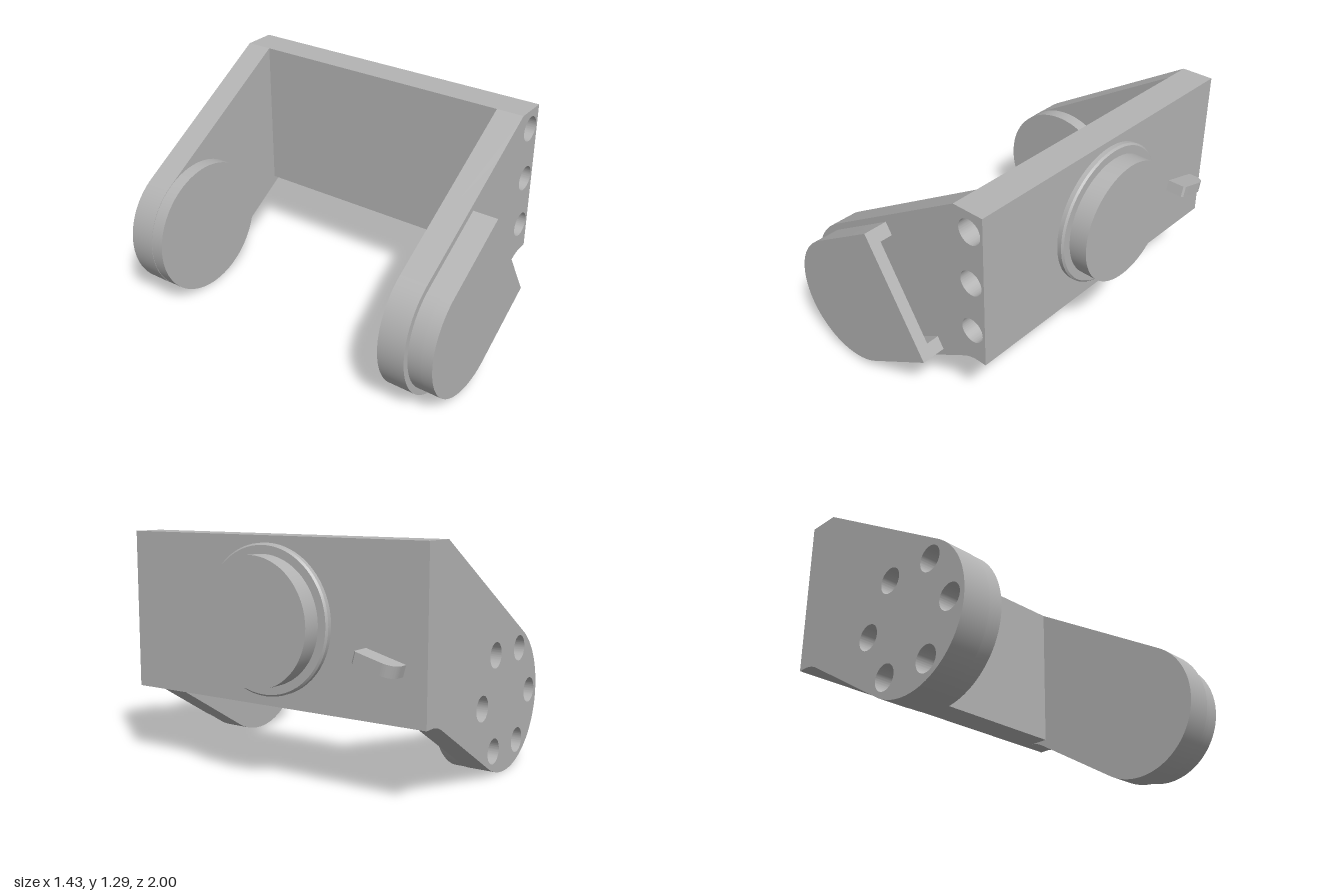
import * as THREE from 'three';
import { toCreasedNormals } from 'three/addons/utils/BufferGeometryUtils.js';

const TILT = THREE.MathUtils.degToRad(31);        // slope of the arms
const PIVOT = new THREE.Vector2(-0.32, 0.4);      // centre of the rounded arm ends
const A0 = TILT + Math.PI / 2, A1 = TILT + Math.PI * 1.5;

// point given along / across the arm, measured from the pivot
const armPoint = (along, across) =>
  new THREE.Vector2(along, across).rotateAround(new THREE.Vector2(), TILT).add(PIVOT);

function extrude(shape, z0, z1) {
  const g = new THREE.ExtrudeGeometry(shape, { depth: z1 - z0, bevelEnabled: false, curveSegments: 40 });
  g.translate(0, 0, z0);
  return toCreasedNormals(g, 0.5);
}

function armShape(holes) {
  const s = new THREE.Shape();
  s.absarc(PIVOT.x, PIVOT.y, 0.4, A0, A1, false);
  s.lineTo(0.42, 0.378);
  s.quadraticCurveTo(0.47, 0.408, 0.52, 0.408);
  s.lineTo(0.575, 0.408);
  s.lineTo(0.575, 1.29);
  s.lineTo(0.39, 1.29);
  s.closePath();
  for (const [x, y] of holes) {
    s.holes.push(new THREE.Path().absarc(x, y, 0.07, 0, Math.PI * 2, true));
  }
  return s;
}

// rounded cover outline; with an inner radius it becomes a U-shaped wall
function coverShape(inner) {
  const r = 0.365, len = 0.472, s = new THREE.Shape();
  const to = (a, c) => { const p = armPoint(a, c); s.lineTo(p.x, p.y); };
  s.absarc(PIVOT.x, PIVOT.y, r, A0, A1, false);
  to(len, -r);
  if (inner) {
    to(len, -inner);
    s.absarc(PIVOT.x, PIVOT.y, inner, A1, A0, true);
    to(len, inner);
  }
  to(len, r);
  s.closePath();
  return s;
}

export function createModel() {
  const model = new THREE.Group();
  model.name = 'bracket';
  const grey = new THREE.MeshStandardMaterial({ color: 0xb4b4b4 });
  grey.name = 'grey';
  const add = (name, geometry) => {
    const m = new THREE.Mesh(geometry, grey);
    m.name = name;
    model.add(m);
    return m;
  };

  // bridge plate joining the two arms
  add('bridgePlate', new THREE.BoxGeometry(0.185, 0.882, 1.55)).position.set(0.4825, 0.849, -0.07);

  // front arm with a column of three screw holes
  add('frontArm', extrude(armShape([0.585, 0.88, 1.178].map(y => [0.49, y])), 0.705, 0.86));

  // rear arm with a ring of six holes, closed by the round pad inside
  const ring = [];
  for (let i = 0; i < 6; i++) {
    const a = i * Math.PI / 3;
    ring.push([PIVOT.x + 0.3 * Math.cos(a), PIVOT.y + 0.3 * Math.sin(a)]);
  }
  add('rearArm', extrude(armShape(ring), -1, -0.845));
  const disc = new THREE.Shape().absarc(PIVOT.x, PIVOT.y, 0.398, 0, Math.PI * 2, false);
  add('rearPad', extrude(disc, -0.845, -0.768));

  // hollow cover on the front arm, open at its upper end
  add('coverWall', extrude(coverShape(0.29), 0.86, 0.935));
  add('coverFace', extrude(coverShape(0), 0.935, 1));

  // stepped round boss on the side of the plate
  const profile = [[0.395, 0], [0.395, 0.025], [0.385, 0.035], [0.34, 0.035], [0.34, 0.14], [0, 0.14]]
    .map(([r, h]) => new THREE.Vector2(r, h));
  const boss = add('roundBoss', toCreasedNormals(new THREE.LatheGeometry(profile, 64), 0.5));
  boss.rotation.z = -Math.PI / 2;
  boss.position.set(0.575, 0.858, -0.067);

  // small tilted tab beside the boss
  const t = new THREE.Shape();
  t.moveTo(-0.115, 0);
  t.lineTo(0.115, 0);
  t.lineTo(0.115, 0.04);
  t.absarc(0.045, 0.04, 0.07, 0, Math.PI / 2, false);
  t.lineTo(-0.105, 0.11);
  t.lineTo(-0.115, 0.1);
  t.closePath();
  const tab = extrude(t, -0.031, 0.031);
  const s = Math.sin(Math.PI / 12), c = Math.cos(Math.PI / 12);
  tab.applyMatrix4(new THREE.Matrix4().makeBasis(
    new THREE.Vector3(0, -s, -c), new THREE.Vector3(1, 0, 0), new THREE.Vector3(0, -c, s)));
  add('tab', tab).position.set(0.575, 0.71, -0.767);

  return model;
}
